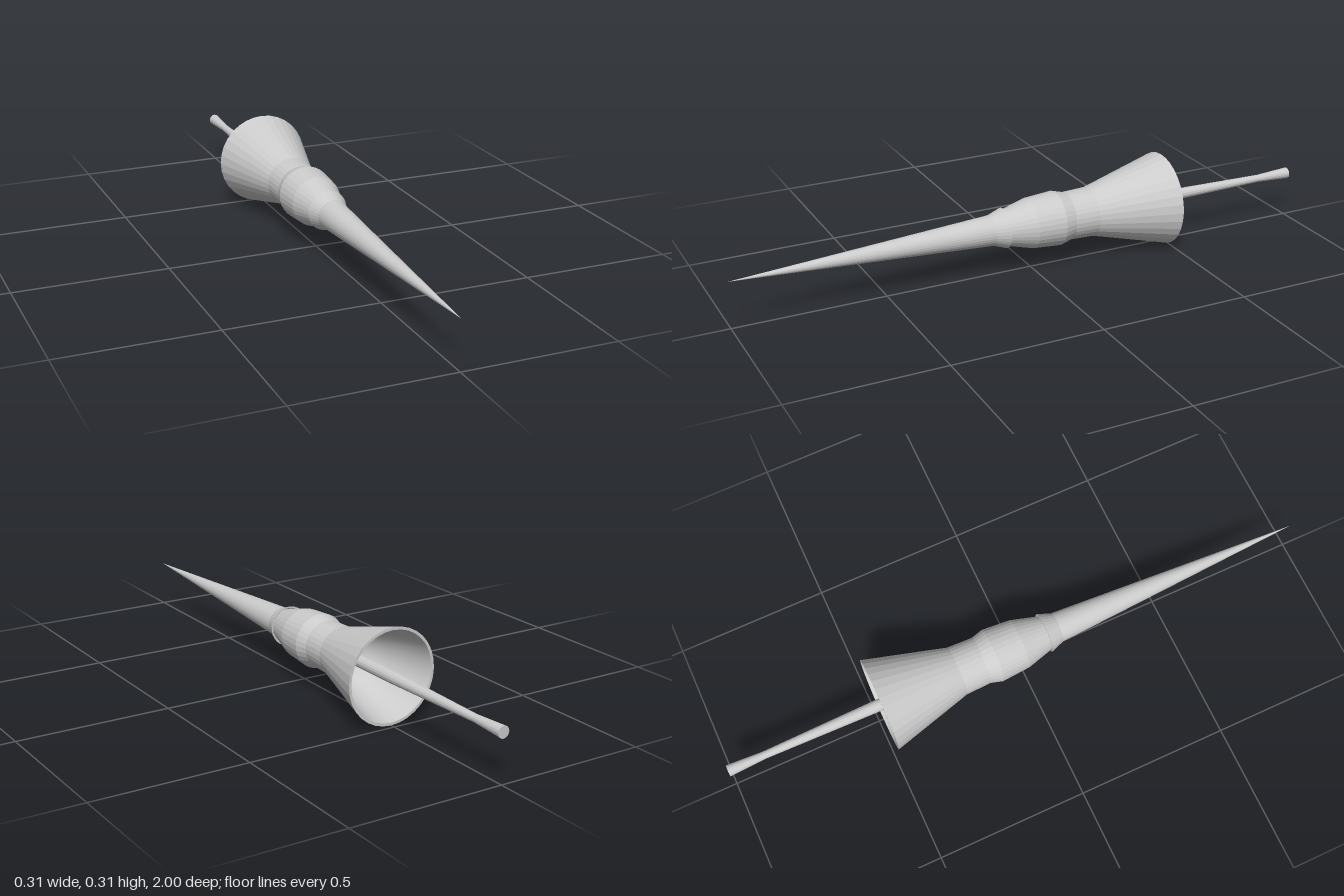
import * as THREE from 'three';

const AXIS_Y = 0.155;
const SIDES = 32;

// Revolve a [radius, z] profile around the long (z) axis
function turned(name, profile, { sides = SIDES, flat = true, double = false } = {}) {
  const geometry = new THREE.LatheGeometry(profile.map(([r, z]) => new THREE.Vector2(r, z)), sides);
  geometry.rotateX(Math.PI / 2);
  const material = new THREE.MeshStandardMaterial({
    color: 0xcccccc,
    flatShading: flat,
    side: double ? THREE.DoubleSide : THREE.FrontSide,
  });
  const mesh = new THREE.Mesh(geometry, material);
  mesh.name = name;
  return mesh;
}

export function createModel() {
  const lance = new THREE.Group();
  lance.name = 'lance';

  // Long pointed spike
  lance.add(turned('spike', [[0.05, 0.1], [0.05, 0.14], [0, 1]]));

  // Flared collar at the root of the spike, open at the back
  lance.add(turned('collar', [
    [0.05, 0.12], [0.061, 0.095], [0.066, 0.095], [0.05, 0.14],
  ], { double: true }));

  // Swollen body, groove and flaring hand guard with a thin rim
  lance.add(turned('body', [
    [0.146, -0.485], [0.155, -0.485], [0.082, -0.215], [0.079, -0.13],
    [0.09, -0.09], [0.083, 0.005], [0.057, 0.1], [0.045, 0.115],
  ]));

  // Hollow inside of the guard, a smooth rounded cup
  const cup = new THREE.SplineCurve([
    [0, -0.23], [0.045, -0.238], [0.085, -0.28], [0.118, -0.37], [0.146, -0.485],
  ].map(([r, z]) => new THREE.Vector2(r, z)));
  lance.add(turned('guardInterior', cup.getPoints(16).map((p) => [Math.max(p.x, 0), p.y]), { flat: false }));

  // Slim grip, waisted near its flared end
  lance.add(turned('grip', [
    [0, -1], [0.019, -1], [0.0125, -0.88], [0.02, -0.485], [0.02, -0.2],
  ], { sides: 16 }));

  lance.position.y = AXIS_Y;
  const model = new THREE.Group();
  model.name = 'model';
  model.add(lance);
  return model;
}
